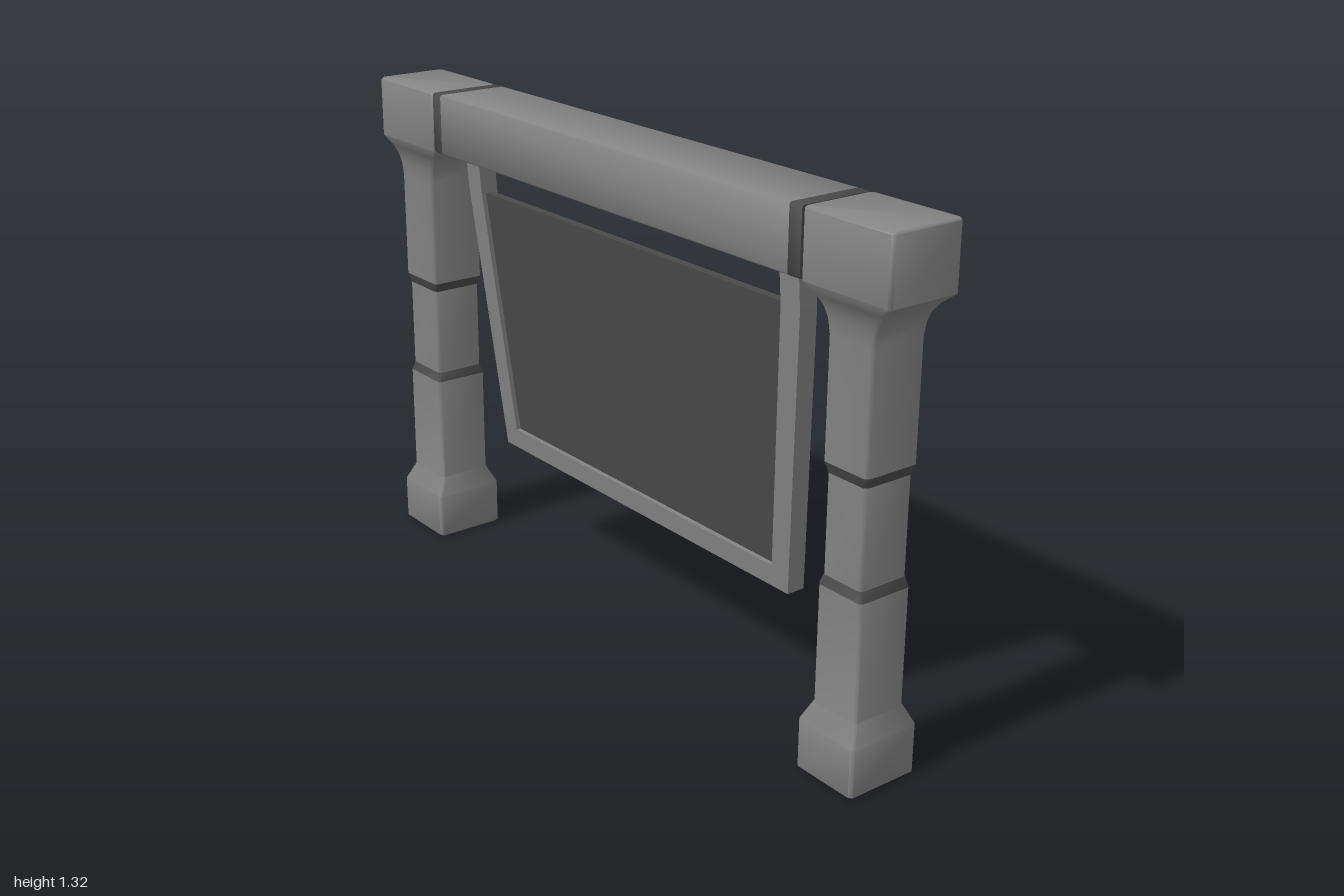
import * as THREE from 'three';
import { toCreasedNormals } from 'three/addons/utils/BufferGeometryUtils.js';

const grey = new THREE.MeshStandardMaterial({ color: 0x838383 });
const dark = new THREE.MeshStandardMaterial({ color: 0x494949 });

function addMesh(parent, name, geometry, material = grey) {
  const mesh = new THREE.Mesh(geometry, material);
  mesh.name = name;
  parent.add(mesh);
}

// Stacks chamfered rectangles; each layer is [y, centre x, half width, half depth].
// The crease angle keeps the chamfers soft and the end caps sharp.
function loft(layers, chamfer = 0.008) {
  const positions = [], index = [], n = 8;
  for (const [y, cx, w, d] of layers) {
    const a = w - chamfer, b = d - chamfer;
    for (const [x, z] of [[w, -b], [w, b], [a, d], [-a, d], [-w, b], [-w, -b], [-a, -d], [a, -d]]) {
      positions.push(cx + x, y, z);
    }
  }
  for (let l = 0; l < layers.length - 1; l++) {
    for (let i = 0; i < n; i++) {
      const a = l * n + i, b = l * n + (i + 1) % n;
      index.push(a, a + n, b, b, a + n, b + n);
    }
  }
  const top = (layers.length - 1) * n;
  for (let i = 1; i < n - 1; i++) {
    index.push(0, i, i + 1, top, top + i + 1, top + i);
  }
  const geometry = new THREE.BufferGeometry();
  geometry.setAttribute('position', new THREE.Float32BufferAttribute(positions, 3));
  geometry.setIndex(index);
  return toCreasedNormals(geometry, 0.9);
}

// Pillar with a flared foot, a narrow waist between two dark bands and a curved
// capital that grows into the end block of the crossbeam.
function makePillar(name, { x, shaft, waist, foot, capX, cap }) {
  const pillar = new THREE.Group();
  pillar.name = name;
  const S = [x, shaft, 0.076], W = [x, waist, 0.07], F = [x, foot, 0.1];
  addMesh(pillar, 'lowerShaft', loft([
    [0, x, foot - 0.005, 0.095], [0.005, ...F], [0.125, ...F], [0.175, ...S], [0.47, ...S],
  ]));
  addMesh(pillar, 'lowerBand', loft([[0.47, ...S], [0.495, ...W]]), dark);
  addMesh(pillar, 'waist', loft([[0.495, ...W], [0.737, ...W]]));
  addMesh(pillar, 'upperBand', loft([[0.737, ...W], [0.762, ...S]]), dark);
  const flare = [[1.05, 0], [1.085, 0.08], [1.11, 0.24], [1.13, 0.5], [1.155, 1]].map(([y, t]) => [
    y, THREE.MathUtils.lerp(x, capX, t), THREE.MathUtils.lerp(shaft, cap, t),
    THREE.MathUtils.lerp(0.076, 0.1, t),
  ]);
  addMesh(pillar, 'upperShaftAndCapital', loft([
    [0.762, ...S], ...flare, [1.31, capX, cap, 0.1], [1.315, capX, cap - 0.004, 0.096],
  ]));
  return pillar;
}

// Chamfered beam piece lying along x from x0 to x1.
function beamPiece(parent, name, x0, x1, material) {
  const geometry = loft([[x0, -1.235, 0.08, 0.1], [x1, -1.235, 0.08, 0.1]], 0.005);
  addMesh(parent, name, geometry.rotateZ(-Math.PI / 2), material);
}

// Extrudes an outline in z and leans it backwards towards the bottom.
function leaningPlate(points, depth) {
  const shape = new THREE.Shape(points.map(([x, y]) => new THREE.Vector2(x, y)));
  const geometry = new THREE.ExtrudeGeometry(shape, { depth, bevelEnabled: false });
  const p = geometry.attributes.position;
  for (let i = 0; i < p.count; i++) {
    p.setZ(i, p.getZ(i) - depth / 2 + 0.018 - 0.08 * (1.16 - p.getY(i)));
  }
  geometry.computeVertexNormals();
  return geometry;
}

export function createModel() {
  const model = new THREE.Group();
  model.name = 'hangingSignGate';

  model.add(makePillar('rightPillar', {
    x: -0.862, shaft: 0.078, waist: 0.07, foot: 0.099, capX: -0.86, cap: 0.14,
  }));
  model.add(makePillar('leftPillar', {
    x: 0.867, shaft: 0.069, waist: 0.061, foot: 0.091, capX: 0.867, cap: 0.133,
  }));

  // Crossbeam between the capitals, with a dark band at each end
  const beam = new THREE.Group();
  beam.name = 'crossbeam';
  beamPiece(beam, 'rightBeamBand', -0.72, -0.683, dark);
  beamPiece(beam, 'middleBeam', -0.683, 0.695, grey);
  beamPiece(beam, 'leftBeamBand', 0.695, 0.734, dark);
  model.add(beam);

  // Hanging sign: U-shaped frame around a dark board
  const sign = new THREE.Group();
  sign.name = 'hangingSign';
  addMesh(sign, 'signFrame', leaningPlate([
    [-0.655, 1.18], [-0.655, 1.057], [-0.585, 0.329], [0.597, 0.329], [0.668, 1.057], [0.668, 1.18],
    [0.605, 1.18], [0.605, 1.057], [0.543, 0.384], [-0.533, 0.384], [-0.595, 1.057], [-0.595, 1.18],
  ], 0.05));
  addMesh(sign, 'signBoard', leaningPlate([
    [-0.6, 1.057], [-0.538, 0.379], [0.548, 0.379], [0.61, 1.057],
  ], 0.024), dark);
  model.add(sign);

  return model;
}
